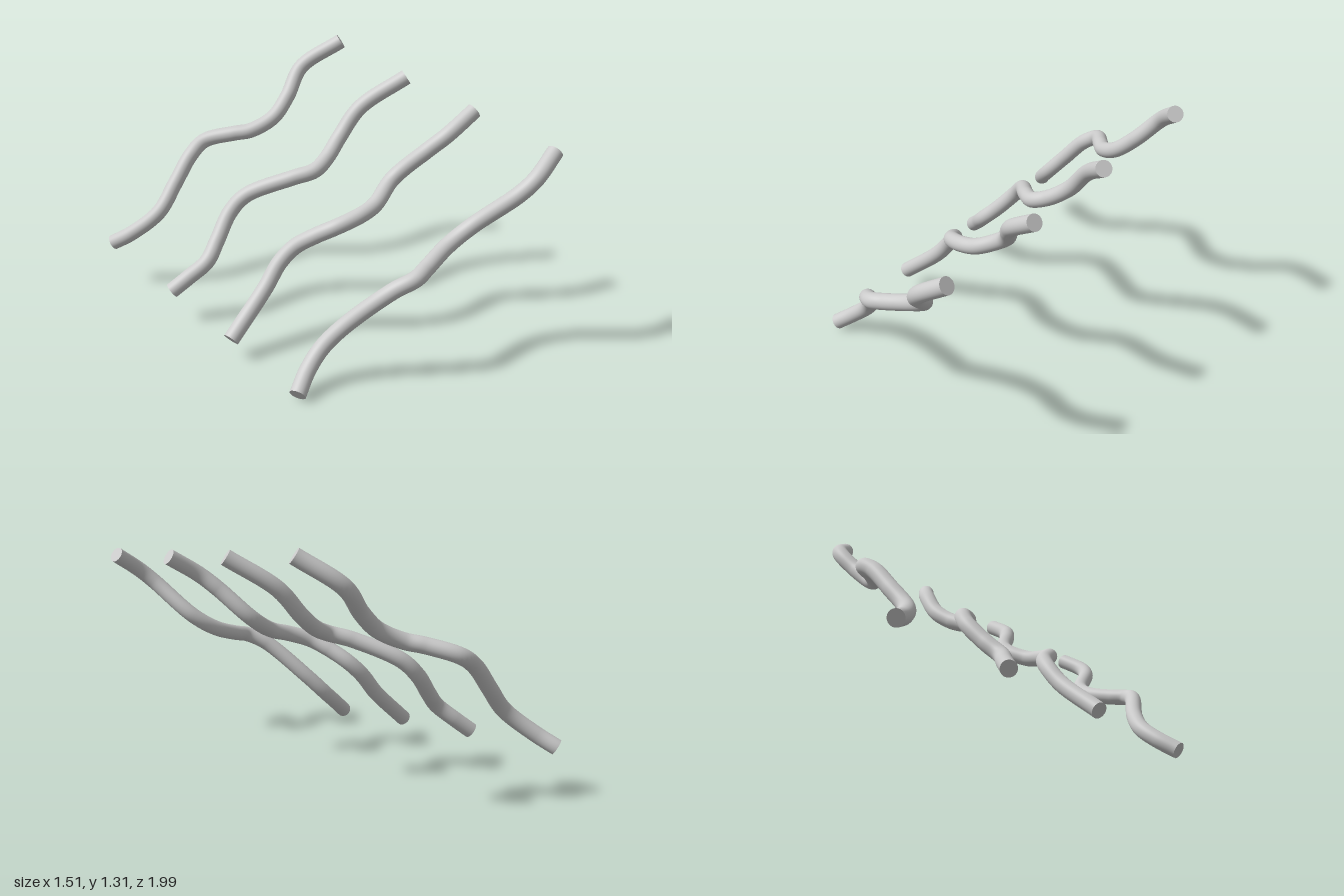
import * as THREE from 'three';

const RADIUS = 0.041;

// Centre line of each wavy rod as [x, y, z], low end to high end
const rearRod = [
  [-0.722, 0.255, -0.963], [-0.648, 0.316, -0.889], [-0.511, 0.44, -0.81], [-0.394, 0.576, -0.831],
  [-0.278, 0.71, -0.857], [-0.183, 0.775, -0.866], [-0.05, 0.822, -0.762], [0.024, 0.84, -0.709],
  [0.148, 0.902, -0.675], [0.257, 1.0, -0.698], [0.378, 1.14, -0.741], [0.568, 1.283, -0.63],
];
const midRearRod = [
  [-0.67, 0.183, -0.373], [-0.585, 0.253, -0.339], [-0.495, 0.333, -0.303], [-0.415, 0.418, -0.335],
  [-0.31, 0.544, -0.374], [-0.225, 0.629, -0.349], [-0.024, 0.732, -0.201], [0.077, 0.765, -0.153],
  [0.172, 0.811, -0.178], [0.278, 0.897, -0.215], [0.4, 1.038, -0.206], [0.62, 1.197, -0.097],
];
const midFrontRod = [
  [-0.62, 0.115, 0.153], [-0.394, 0.316, 0.108], [-0.299, 0.43, 0.097], [-0.225, 0.507, 0.122],
  [-0.146, 0.576, 0.196], [-0.071, 0.625, 0.259], [0.05, 0.669, 0.291], [0.151, 0.702, 0.28],
  [0.299, 0.795, 0.228], [0.442, 0.951, 0.328], [0.521, 1.024, 0.374], [0.68, 1.128, 0.387],
];
const frontRod = [
  [-0.562, 0.037, 0.667], [-0.474, 0.11, 0.614], [-0.384, 0.19, 0.593], [-0.288, 0.292, 0.63],
  [-0.098, 0.491, 0.772], [0, 0.544, 0.815], [0.087, 0.57, 0.788], [0.241, 0.629, 0.746],
  [0.362, 0.71, 0.772], [0.516, 0.892, 0.926], [0.59, 0.961, 0.952], [0.73, 1.059, 0.922],
];

function makeRod(name, points, material) {
  const rod = new THREE.Group();
  rod.name = name;
  const curve = new THREE.CatmullRomCurve3(points.map((p) => new THREE.Vector3(...p)));

  const body = new THREE.Mesh(new THREE.TubeGeometry(curve, 120, RADIUS, 32), material);
  body.name = 'rodBody';
  rod.add(body);

  // Flat discs closing both ends, facing outwards
  for (const [t, sign, label] of [[0, -1, 'lowEndCap'], [1, 1, 'highEndCap']]) {
    const cap = new THREE.Mesh(new THREE.CircleGeometry(RADIUS, 32), material);
    cap.name = label;
    cap.position.copy(curve.getPointAt(t));
    const outward = curve.getTangentAt(t).multiplyScalar(sign);
    cap.quaternion.setFromUnitVectors(new THREE.Vector3(0, 0, 1), outward);
    rod.add(cap);
  }
  return rod;
}

export function createModel() {
  const model = new THREE.Group();
  model.name = 'wavyRods';
  const material = new THREE.MeshStandardMaterial({ color: 0xcccccc });
  const rods = { rearRod, midRearRod, midFrontRod, frontRod };
  for (const [name, points] of Object.entries(rods)) model.add(makeRod(name, points, material));
  return model;
}
